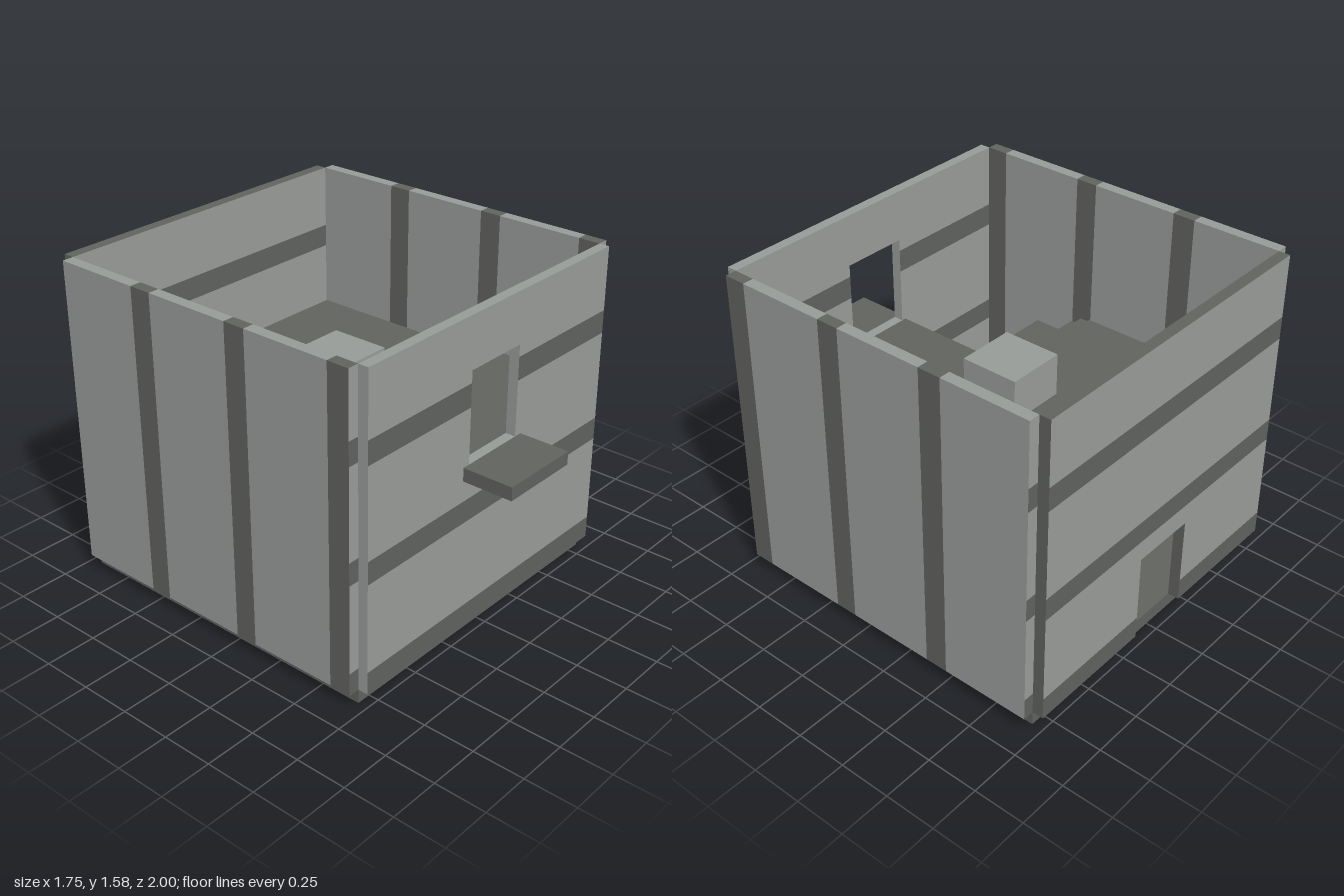
import * as THREE from 'three';

export function createModel() {
  const root = new THREE.Group();
  const light = new THREE.MeshStandardMaterial({ color: 0x979b98 });
  light.name = 'light grey';
  const dark = new THREE.MeshStandardMaterial({ color: 0x60625e });
  dark.name = 'dark grey';

  // Box given by its limits on each axis
  function box(parent, name, [x0, x1], [y0, y1], [z0, z1], material) {
    const mesh = new THREE.Mesh(new THREE.BoxGeometry(x1 - x0, y1 - y0, z1 - z0), material);
    mesh.position.set((x0 + x1) / 2, (y0 + y1) / 2, (z0 + z1) / 2);
    mesh.name = name;
    parent.add(mesh);
    return mesh;
  }

  function group(name) {
    const g = new THREE.Group();
    g.name = name;
    root.add(g);
    return g;
  }

  const BOTTOM = 0.07, TOP = 1.58, DECK = 0.89;
  const yBands = [[0.07, 0.18], [0.613, 0.723], [1.16, 1.272]];
  const zBands = [[-0.507, -0.395], [0.043, 0.153], [0.592, 0.70]];
  const inBand = (bands, v) => bands.some(([a, b]) => v > a && v < b);

  // Panel with horizontal bands on its faces and an optional opening
  function bandedPanel(name, xs, zs, edge, opening) {
    const g = group(name);
    const cuts = new Set([BOTTOM, TOP, ...yBands.flat(), ...(opening ? opening.y : [])]);
    const ys = [...cuts].sort((a, b) => a - b);
    for (let i = 0; i + 1 < ys.length; i++) {
      const row = [ys[i], ys[i + 1]];
      const mid = (row[0] + row[1]) / 2;
      const face = inBand(yBands, mid) ? dark : light;
      const mats = [edge, edge, edge, edge, face, face];
      if (opening && mid > opening.y[0] && mid < opening.y[1]) {
        box(g, name + 'Strip', [xs[0], opening.x[0]], row, zs, mats);
        box(g, name + 'Strip', [opening.x[1], xs[1]], row, zs, mats);
      } else {
        box(g, name + 'Strip', xs, row, zs, mats);
      }
    }
  }

  // Front wall with window, back wall with doorway
  bandedPanel('frontWall', [-0.82, 0.82], [0.70, 0.75], light, { x: [-0.168, 0.163], y: [DECK, 1.33] });
  bandedPanel('backWall', [-0.82, 0.82], [-1.0, -0.945], dark, { x: [-0.165, 0.165], y: [BOTTOM, 0.51] });

  // Side walls: vertical bands, with horizontally banded end caps
  const cap = 0.004;
  const zs = [-0.945 + cap, ...zBands.flat()];
  zs[zs.length - 1] -= cap;
  for (const [side, xs] of [['left', [0.82, 0.875]], ['right', [-0.875, -0.82]]]) {
    const g = group(side + 'Wall');
    for (let i = 0; i + 1 < zs.length; i++) {
      const band = inBand(zBands, (zs[i] + zs[i + 1]) / 2);
      box(g, side + 'WallStrip', xs, [BOTTOM, TOP], [zs[i], zs[i + 1]], band ? dark : light);
    }
    bandedPanel(side + 'WallFrontEnd', xs, [0.70 - cap, 0.70], dark);
    bandedPanel(side + 'WallBackEnd', xs, [-0.945, -0.945 + cap], light);
  }

  // Foundation and shelf below the window
  box(root, 'foundation', [-0.82, 0.82], [0, BOTTOM], [-0.945, 0.70], dark);
  box(root, 'windowShelf', [-0.205, 0.203], [0.825, DECK], [0.75, 1.0], dark);

  // Horizontal slab from an outline of [x, z] points
  function slab(name, outline, y0, y1) {
    const shape = new THREE.Shape(outline.map(([x, z]) => new THREE.Vector2(x, -z)));
    const geo = new THREE.ExtrudeGeometry(shape, { depth: y1 - y0, bevelEnabled: false });
    geo.rotateX(-Math.PI / 2);
    const mesh = new THREE.Mesh(geo, dark);
    mesh.position.y = y0;
    mesh.name = name;
    root.add(mesh);
  }

  // Upper floor: a lower layer, and planks with a stepped seam, both open at the stairs
  slab('upperFloorBase', [
    [-0.82, -0.945], [0.82, -0.945], [0.82, 0.70], [-0.19, 0.70], [-0.19, 0.20],
    [-0.60, 0.20], [-0.60, 0.07], [-0.70, 0.07], [-0.70, 0.05], [-0.82, 0.05],
  ], 0.825, 0.85);
  slab('upperFloorPlanks', [
    [-0.75, -0.88], [0.75, -0.88], [0.75, 0.05], [0.69, 0.05], [0.69, 0.08], [0.50, 0.08],
    [0.50, 0.05], [0.39, 0.05], [0.39, 0.07], [0.20, 0.07], [0.20, 0.05], [0.09, 0.05],
    [0.09, 0.10], [-0.10, 0.10], [-0.10, 0.05], [-0.175, 0.05], [-0.175, 0.13], [0.82, 0.13],
    [0.82, 0.70], [-0.19, 0.70], [-0.19, 0.20], [-0.60, 0.20], [-0.60, 0.07], [-0.70, 0.07],
    [-0.70, 0.05], [-0.75, 0.05],
  ], 0.85, DECK);

  // Crate on the upper floor
  box(root, 'crate', [-0.15, 0.147], [DECK, 1.10], [-0.275, 0.02], light);

  // Block steps below the stair opening
  box(root, 'upperStep', [-0.67, -0.24], [0.34, 0.61], [0.03, 0.40], dark);
  box(root, 'lowerStep', [-0.735, -0.305], [BOTTOM, 0.34], [0.235, 0.61], dark);

  return root;
}
